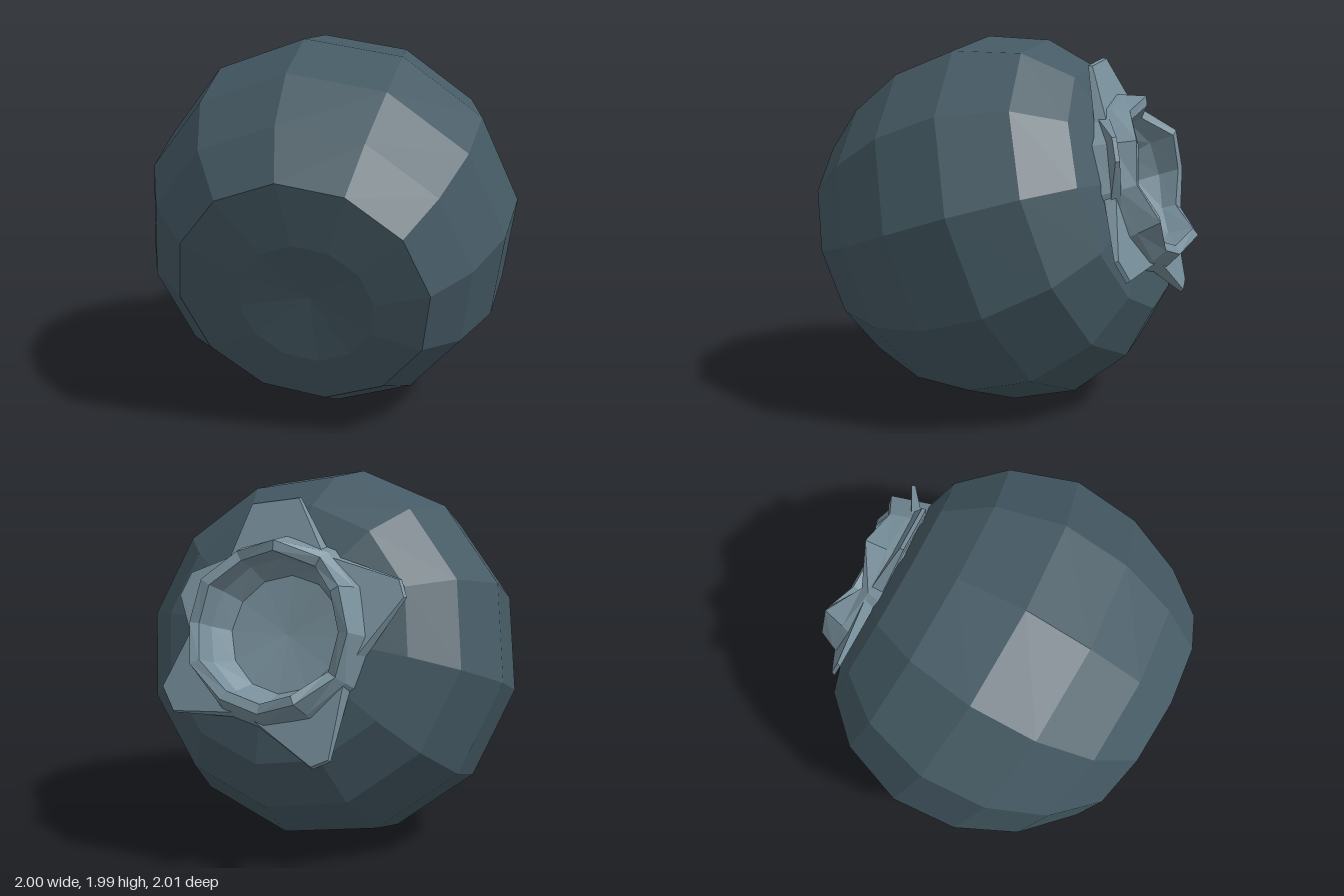
import * as THREE from 'three';
import { ConvexGeometry } from 'three/addons/geometries/ConvexGeometry.js';

const SIDES = 12;
const rad = THREE.MathUtils.degToRad;

// Point around the berry's own axis: radius, height along the axis, angle
const polar = (r, h, a) => new THREE.Vector3(r * Math.cos(a), h, -r * Math.sin(a));

// Closed rings joined into a faceted skin; shape(r, h, angle, row) places each point
function rings(profile, shape) {
  const pos = [], index = [];
  profile.forEach(([r, h], i) => {
    for (let j = 0; j < SIDES; j++) {
      pos.push(...shape(r, h, (j / SIDES) * Math.PI * 2, i).toArray());
      if (i === profile.length - 1) continue;
      const a = i * SIDES + j, b = i * SIDES + (j + 1) % SIDES;
      if (r > 0) index.push(a, b, b + SIDES);
      if (profile[i + 1][0] > 0) index.push(a, b + SIDES, a + SIDES);
    }
  });
  const g = new THREE.BufferGeometry();
  g.setAttribute('position', new THREE.Float32BufferAttribute(pos, 3));
  g.setIndex(index);
  g.computeVertexNormals();
  return g;
}

export function createModel() {
  const skin = new THREE.MeshStandardMaterial({ color: 0x455a64, flatShading: true });
  const pale = new THREE.MeshStandardMaterial({ color: 0x78909c, flatShading: true });
  const berry = new THREE.Group();
  berry.name = 'berry';
  const add = (name, geometry, material) => {
    const m = new THREE.Mesh(geometry, material);
    m.name = name;
    berry.add(m);
  };

  // Round body with a shallow dimple, slightly off centre, at the stem end
  const shift = [[-0.08, -0.04], [-0.07, -0.02], [-0.04, -0.04], [-0.01, -0.01]];
  add('body', rings([
    [0, -0.78], [0.35, -0.82], [0.65, -0.78], [0.85, -0.54], [0.98, -0.22],
    [1.0, 0.14], [0.87, 0.48], [0.66, 0.69], [0.42, 0.76],
  ], (r, h, a, i) => {
    const [dx, dz] = shift[i] ?? [0, 0];
    return polar(r, h, a - rad(6)).add(new THREE.Vector3(dx, 0, dz));
  }), skin);

  // Lobes of the crown: angle, tip radius, tip height, tip half-width in degrees
  const lobes = [
    [98, 0.68, 0.76, 11], [22, 0.67, 0.74, 4], [-64, 0.7, 0.75, 4],
    [-146, 0.69, 0.75, 6], [158, 0.53, 0.86, 7],
  ];

  // Crown ring: outer wall, rim rising near each lobe, inner wall and sunken floor
  const lift = (a) => Math.max(...lobes.map(([d]) =>
    Math.cos(2.5 * Math.min(rad(36), Math.acos(Math.cos(a - rad(d)))))));
  const rise = [0, 0.03, 0.11, 0.11, 0.04, 0, 0];
  add('crown', rings([
    [0.5, 0.71], [0.46, 0.8], [0.42, 0.84], [0.37, 0.83], [0.36, 0.76],
    [0.3, 0.67], [0, 0.64],
  ], (r, h, a, i) => polar(r, h + rise[i] * lift(a), a)), pale);

  // Thin broad sepals flaring out over the body
  lobes.forEach(([deg, r, h, w]) => {
    const pts = [];
    for (const s of [-1, 1]) {
      const base = rad(deg + s * 34), tip = rad(deg + s * w);
      pts.push(polar(0.47, 0.74, base), polar(0.45, 0.8, base),
        polar(r, h, tip), polar(r - 0.01, h + 0.02, tip));
    }
    add('sepal', new ConvexGeometry(pts), pale);
  });

  // Tilt the axis so the crown points back and up, the dimple forward and down
  const axis = new THREE.Vector3(-0.29, 0.3, -0.91).normalize();
  const side = new THREE.Vector3(0, 1, 0).cross(axis).normalize();
  const third = side.clone().cross(axis);
  berry.quaternion.setFromRotationMatrix(new THREE.Matrix4().makeBasis(side, axis, third));
  berry.position.set(0, 0.99, 0.025);

  const model = new THREE.Group();
  model.add(berry);
  return model;
}
